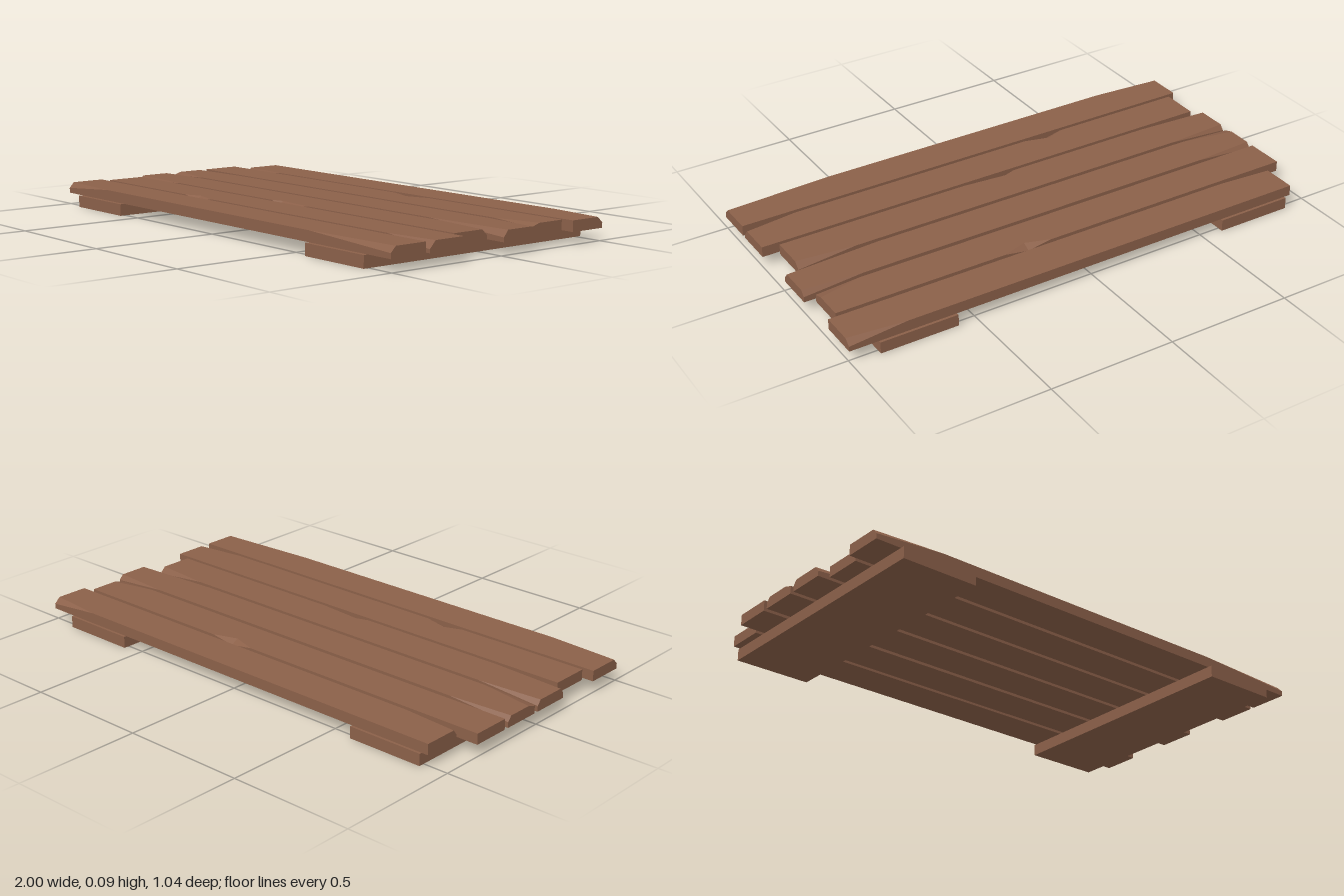
import * as THREE from 'three';

const wood = new THREE.MeshStandardMaterial({ color: 0x8b6049, flatShading: true });
const BASE_TOP = 0.046, TOP = 0.088;
const FRONT = 1, BACK = -1;

// Each chip: [side, start x, deepest x, end x, width, depth]
const planks = [
  { x: [-0.925, 1], z: [-0.512, -0.358], chips: [
    [FRONT, -0.925, -0.925, -0.7, 0.017, 0.022], [BACK, 0.77, 1, 1, 0.024, 0.022]] },
  { x: [-1, 0.962], z: [-0.34, -0.186], chips: [
    [BACK, 0.07, 0.17, 0.27, 0.032, 0.016], [FRONT, 0.78, 0.962, 0.962, 0.04, 0.012]] },
  { x: [-1, 1], z: [-0.167, -0.012], chips: [
    [FRONT, -1, -1, -0.78, 0.038, 0.012], [BACK, -1, -1, -0.74, 0.016, 0.02],
    [FRONT, 0.62, 1, 1, 0.02, 0.025], [BACK, 0.76, 1, 1, 0.018, 0.02]] },
  { x: [-1, 0.937], z: [0.006, 0.161], chips: [
    [FRONT, -1, -1, -0.7, 0.018, 0.022], [BACK, -1, -1, -0.74, 0.016, 0.02],
    [FRONT, -0.08, -0.03, 0.15, 0.016, 0.016], [BACK, 0.7, 0.937, 0.937, 0.024, 0.024]] },
  { x: [-0.963, 1], z: [0.178, 0.333], chips: [
    [FRONT, -0.41, -0.34, -0.24, 0.026, 0.016], [FRONT, 0.79, 1, 1, 0.026, 0.028]] },
  { x: [-1, 1], z: [0.35, 0.505], chips: [
    [FRONT, -1, -1, -0.71, 0.02, 0.022], [FRONT, 0.57, 1, 1, 0.022, 0.022]] },
];

// Width and depth of the chipped edge on one side at a given x
function chipAt(chips, side, x) {
  for (const [s, a, p, b, w, d] of chips) {
    if (s !== side || x < a || x > b) continue;
    const t = x === p ? 1 : x < p ? (x - a) / (p - a) : (b - x) / (b - p);
    return [w * t, d * t];
  }
  return [0, 0];
}

// Plank skinned over six-point cross-sections placed at every chip corner
function plankGeometry({ x, z, chips }) {
  const stations = [...new Set([...x, ...chips.flatMap(c => c.slice(1, 4))])].sort((a, b) => a - b);
  const loops = stations.map(sx => {
    const [wf, df] = chipAt(chips, FRONT, sx);
    const [wb, db] = chipAt(chips, BACK, sx);
    return [
      [BASE_TOP, z[0]], [BASE_TOP, z[1]], [TOP - df, z[1]],
      [TOP, z[1] - wf], [TOP, z[0] + wb], [TOP - db, z[0]],
    ].map(([py, pz]) => new THREE.Vector3(sx, py, pz));
  });
  const positions = [];
  const tri = (a, b, c) => {
    if (new THREE.Triangle(a, b, c).getArea() < 1e-7) return;
    for (const v of [a, b, c]) positions.push(v.x, v.y, v.z);
  };
  for (let k = 0; k < loops.length - 1; k++) {
    const p = loops[k], q = loops[k + 1];
    for (let i = 0; i < 6; i++) {
      const j = (i + 1) % 6;
      tri(p[i], q[i], q[j]);
      tri(p[i], q[j], p[j]);
    }
  }
  // End caps
  const first = loops[0], last = loops[loops.length - 1];
  for (let i = 1; i < 5; i++) {
    tri(first[0], first[i], first[i + 1]);
    tri(last[0], last[i + 1], last[i]);
  }
  const geometry = new THREE.BufferGeometry();
  geometry.setAttribute('position', new THREE.Float32BufferAttribute(positions, 3));
  geometry.computeVertexNormals();
  return geometry;
}

export function createModel() {
  const model = new THREE.Group();
  model.name = 'woodenPlatform';

  // Deck planks
  planks.forEach((plank, i) => {
    const mesh = new THREE.Mesh(plankGeometry(plank), wood);
    mesh.name = `plank${i + 1}`;
    model.add(mesh);
  });

  // Cross boards underneath
  for (const [name, x] of [['rightCrossBoard', -0.743], ['leftCrossBoard', 0.731]]) {
    const board = new THREE.Mesh(new THREE.BoxGeometry(0.31, BASE_TOP, 1.045), wood);
    board.name = name;
    board.position.set(x, BASE_TOP / 2, 0);
    model.add(board);
  }
  return model;
}
